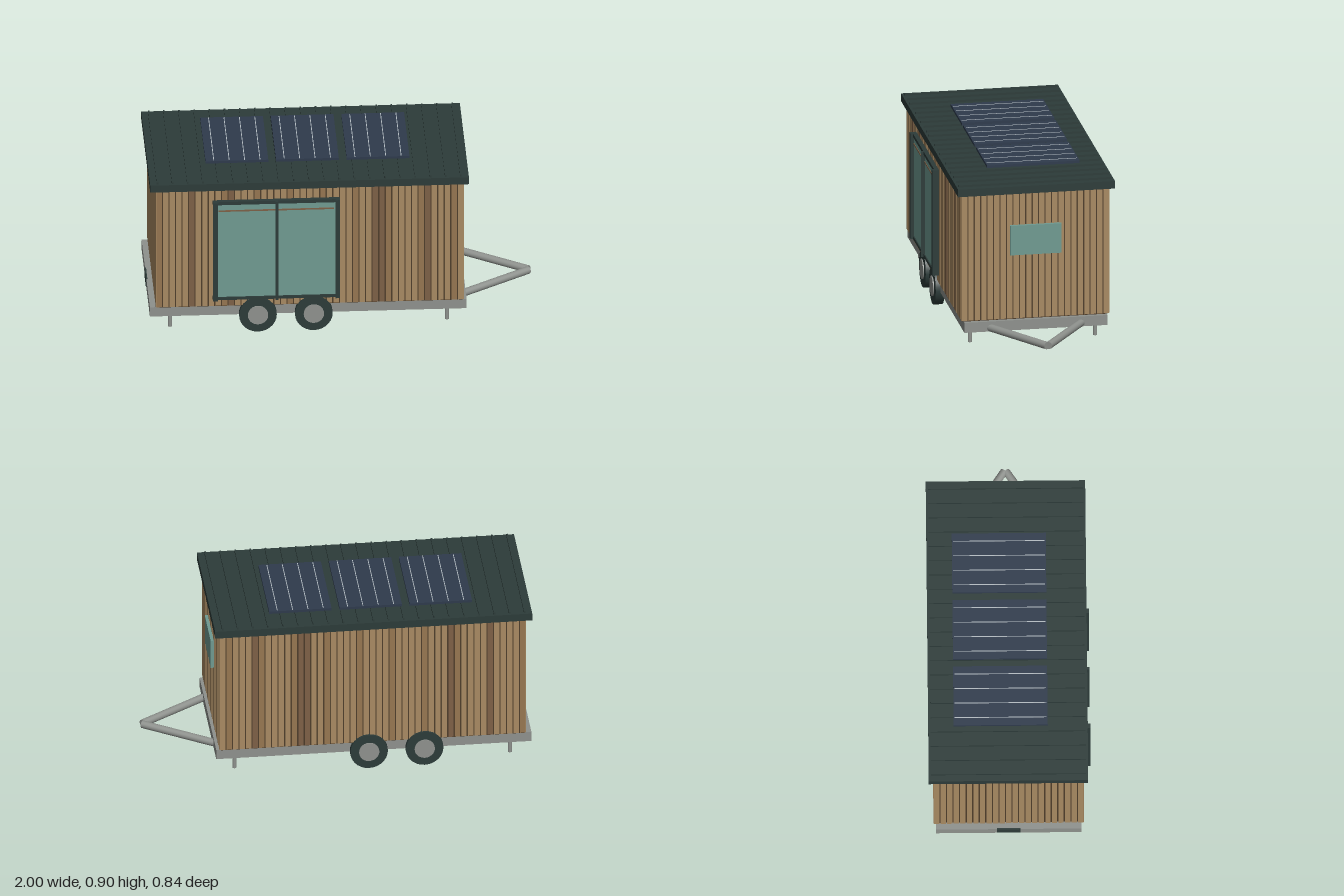
import * as THREE from 'three';

const mat = (name, color) => {
  const m = new THREE.MeshStandardMaterial({ color });
  m.name = name;
  return m;
};

export function createModel() {
  const model = new THREE.Group();
  model.name = 'tinyHouseTrailer';
  const ZC = -0.005; // centre line of the house

  const wood = mat('tan wood', 0xa88a62);
  const woodMid = mat('mid wood', 0x967650);
  const woodDark = mat('dark wood', 0x7d6046);
  const groove = mat('groove brown', 0x4e3d2a);
  const green = mat('dark green metal', 0x2c3b39);
  const glass = mat('green glass', 0x6f9a91);
  const steel = mat('grey steel', 0x8e918d);
  const solar = mat('solar blue', 0x2e3a4c);
  const silver = mat('silver line', 0xb4bcc2);

  const add = (name, geo, material, parent = model) => {
    const m = new THREE.Mesh(geo, material);
    m.name = name;
    parent.add(m);
    return m;
  };
  // Box given by its two extents on each axis
  const box = (name, material, x0, x1, y0, y1, z0, z1, parent) => {
    const m = add(name, new THREE.BoxGeometry(x1 - x0, y1 - y0, z1 - z0), material, parent);
    m.position.set((x0 + x1) / 2, (y0 + y1) / 2, (z0 + z1) / 2);
    return m;
  };
  // Round bar between two points
  const bar = (name, material, a, b, r) => {
    const d = b.clone().sub(a);
    const m = add(name, new THREE.CylinderGeometry(r, r, d.length(), 16), material);
    m.position.copy(a).add(b).multiplyScalar(0.5);
    m.quaternion.setFromUnitVectors(new THREE.Vector3(0, 1, 0), d.normalize());
    return m;
  };

  // Chassis with rear plate
  box('chassis', steel, -1, 0.645, 0.092, 0.146, ZC - 0.377, ZC + 0.377);
  box('rearPlate', green, -1.003, -0.995, 0.1, 0.15, ZC - 0.06, ZC + 0.06);

  // House core, visible in the grooves between planks
  const X0 = -0.97, X1 = 0.63, Z0 = -0.395, Z1 = 0.385;
  box('wallCore', groove, X0 + 0.008, X1 - 0.008, 0.146, 0.838, Z0 + 0.008, Z1 - 0.008);

  // Plank cladding on the long and short walls
  const cladding = new THREE.Group();
  cladding.name = 'cladding';
  model.add(cladding);
  const GAP = 0.003, T = 0.01;
  const longCount = 47, shortCount = 23;
  const darkBands = [-0.79, -0.57, 0.19, 0.43];
  for (let i = 0; i < longCount; i++) {
    const w = (X1 - X0) / longCount, a = X0 + i * w + GAP, b = X0 + (i + 1) * w - GAP;
    const near = Math.min(...darkBands.map((d) => Math.abs(d - (a + b) / 2)));
    const m = near < 0.02 ? woodDark : (i * 7) % 5 === 0 ? woodMid : wood;
    box('frontPlank', m, a, b, 0.152, 0.83, Z1 - T, Z1, cladding);
    box('backPlank', m, a, b, 0.152, 0.83, Z0, Z0 + T, cladding);
  }
  for (let i = 0; i < shortCount; i++) {
    const w = (Z1 - Z0) / shortCount, a = Z0 + i * w + GAP, b = Z0 + (i + 1) * w - GAP;
    box('leftPlank', wood, X1 - T, X1, 0.152, 0.83, a, b, cladding);
    box('rightPlank', wood, X0, X0 + T, 0.152, 0.83, a, b, cladding);
  }

  // Roof slab with standing seams
  box('roof', green, -1, 0.655, 0.836, 0.877, -0.42, 0.407);
  for (let i = 0; i <= 20; i++) {
    const x = -0.962 + i * 0.0788;
    box('roofSeam', green, x - 0.004, x + 0.004, 0.876, 0.888, -0.408, 0.396);
  }

  // Solar panels with thin cell lines
  for (const cx of [-0.538, -0.172, 0.195]) {
    box('solarPanel', solar, cx - 0.163, cx + 0.163, 0.889, 0.902, -0.288, 0.2);
    for (const dx of [-0.12, -0.04, 0.04, 0.12]) {
      box('cellLine', silver, cx + dx - 0.002, cx + dx + 0.002, 0.901, 0.9035, -0.282, 0.194);
    }
  }

  // Sliding glass door
  const door = new THREE.Group();
  door.name = 'glassDoor';
  model.add(door);
  box('doorGlass', glass, -0.66, -0.03, 0.2, 0.76, 0.386, 0.402, door);
  box('doorTopRail', green, -0.675, -0.015, 0.752, 0.77, 0.385, 0.408, door);
  box('doorBottomRail', green, -0.675, -0.015, 0.196, 0.212, 0.385, 0.408, door);
  for (const [x, h] of [[-0.662, 0.012], [-0.343, 0.007], [-0.027, 0.012]]) {
    box('doorPost', green, x - h, x + h, 0.196, 0.77, 0.385, 0.421, door);
  }
  box('doorHandrail', woodDark, -0.645, -0.045, 0.711, 0.719, 0.401, 0.405, door);

  // End window
  box('endWindow', glass, 0.625, 0.646, 0.5, 0.66, -0.14, 0.13);

  // Wheels with hubs, and stabiliser legs
  for (const s of [-1, 1]) {
    for (const x of [-0.44, -0.15]) {
      const wheel = new THREE.Group();
      wheel.name = 'wheel';
      wheel.position.set(x, 0.098, ZC + s * 0.378);
      wheel.rotation.x = Math.PI / 2;
      model.add(wheel);
      add('tyre', new THREE.CylinderGeometry(0.098, 0.098, 0.046, 28), green, wheel);
      add('hub', new THREE.CylinderGeometry(0.053, 0.053, 0.058, 24), steel, wheel);
    }
    for (const x of [-0.893, 0.545]) {
      bar('stabiliserLeg', steel, new THREE.Vector3(x, 0.01, ZC + s * 0.33), new THREE.Vector3(x, 0.1, ZC + s * 0.33), 0.011);
    }
    // Tow bar
    bar('towBar', steel, new THREE.Vector3(0.62, 0.11, ZC + s * 0.25), new THREE.Vector3(0.988, 0.11, ZC + s * 0.004), 0.02);
  }
  return model;
}
